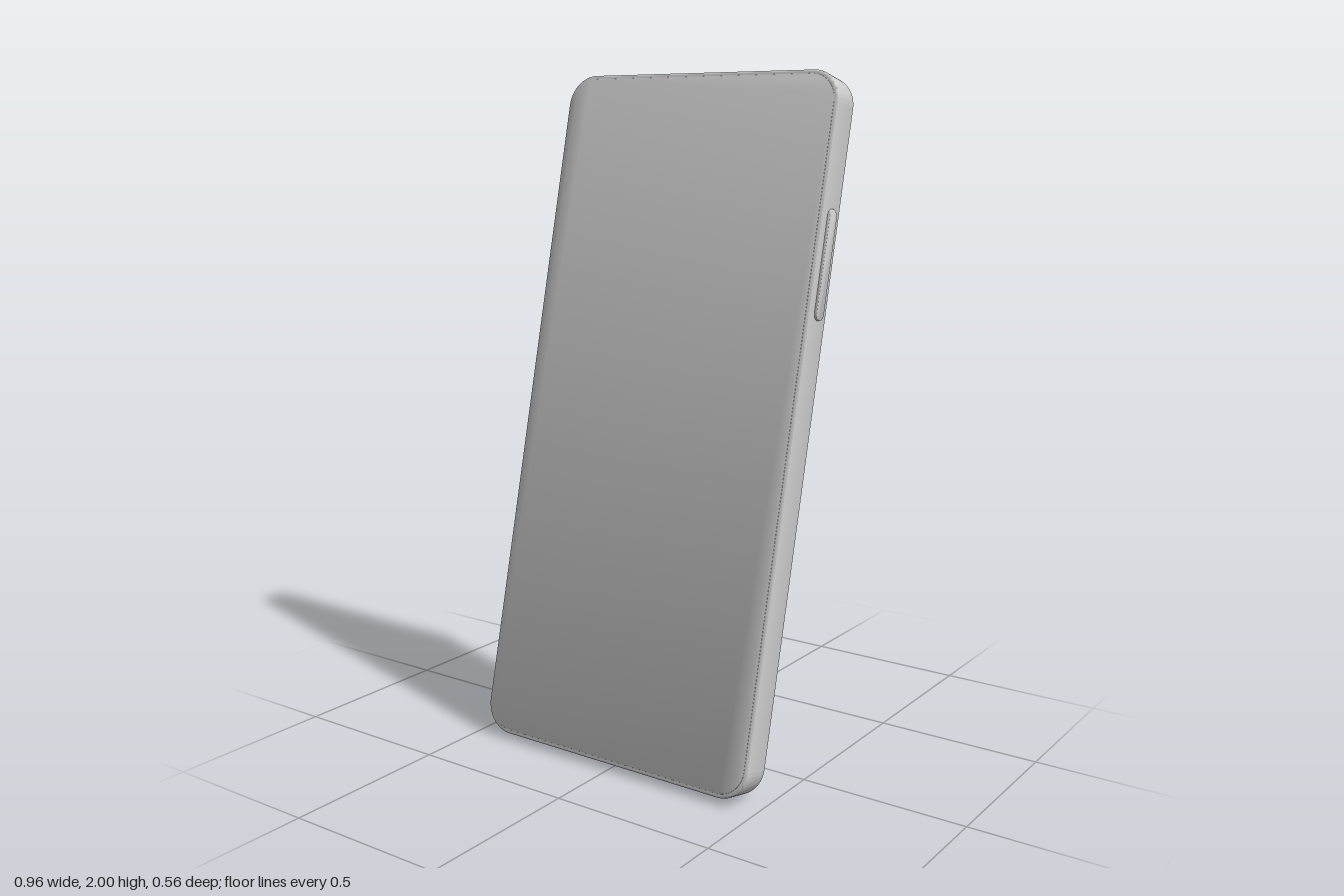
import * as THREE from 'three';
import { toCreasedNormals } from 'three/addons/utils/BufferGeometryUtils.js';

const W = 0.94, L = 2.032, T = 0.096, TILT = -0.2313;
const grey = new THREE.MeshStandardMaterial({ color: 0xcccccc });

// Rounded rectangle slab centred on the origin, thickness along z
function slab(w, h, r, depth, bevel) {
  const x = w / 2 - bevel, y = h / 2 - bevel, q = Math.max(r - bevel, 0.001);
  const s = new THREE.Shape();
  s.moveTo(x, -y + q);
  s.absarc(x - q, y - q, q, 0, Math.PI / 2);
  s.absarc(-x + q, y - q, q, Math.PI / 2, Math.PI);
  s.absarc(-x + q, -y + q, q, Math.PI, Math.PI * 1.5);
  s.absarc(x - q, -y + q, q, Math.PI * 1.5, Math.PI * 2);
  const g = new THREE.ExtrudeGeometry(s, {
    depth: depth - 2 * bevel, bevelEnabled: bevel > 0, bevelThickness: bevel,
    bevelSize: bevel, bevelSegments: 4, curveSegments: 16,
  });
  g.translate(0, 0, -depth / 2 + bevel);
  return toCreasedNormals(g, 0.6);
}

export function createModel() {
  const phone = new THREE.Group();
  phone.name = 'phone';

  const add = (name, geometry, x = 0, y = 0, z = 0) => {
    const m = new THREE.Mesh(geometry, grey);
    m.name = name;
    m.position.set(x, y, z);
    phone.add(m);
    return m;
  };

  // Body and the glass panel set just proud of its front
  add('body', slab(W, L, 0.09, T, 0.007));
  add('screen', slab(W - 0.024, L - 0.024, 0.08, 0.004, 0.001), 0, 0, T / 2 - 0.001);

  // Pill-shaped side buttons
  const button = (name, side, y, length) => {
    const b = add(name, slab(0.042, length, 0.021, 0.024, 0.003), side * (W / 2 - 0.004), y, 0);
    b.rotation.y = side * Math.PI / 2;
  };
  button('powerButton', 1, 0.482, 0.31);
  button('volumeUpButton', -1, 0.647, 0.18);
  button('volumeDownButton', -1, 0.413, 0.18);

  // Rear camera discs: rim, and a shallow dished glass inside it
  const lens = (name, x, down, r, rise) => {
    const edge = r * 0.05;
    const profile = [
      [0, rise - edge * 0.3], [r - edge * 2, rise - edge * 0.3], [r - edge * 1.6, rise],
      [r - edge * 0.4, rise], [r, rise - edge * 0.6], [r, -0.01],
    ].map(([a, b]) => new THREE.Vector2(a, b)).reverse();
    const g = toCreasedNormals(new THREE.LatheGeometry(profile, 48), 0.5);
    add(name, g, x, L / 2 - down, -T / 2).rotation.x = -Math.PI / 2;
  };
  lens('upperLens', 0.365, 0.105, 0.077, 0.01);
  lens('middleLens', 0.365, 0.28, 0.077, 0.01);
  lens('lowerLens', 0.365, 0.42, 0.034, 0.007);

  // Cluster of tiny sensor dots below the lenses
  [[0.376, 0.502], [0.354, 0.508], [0.365, 0.528]].forEach(([x, d], i) =>
    lens('sensorDot' + (i + 1), x, d, 0.007, 0.003));

  // Charging port on the bottom edge
  add('chargingPort', slab(0.11, 0.034, 0.017, 0.004, 0.0005), 0, -L / 2 + 0.001, 0)
    .rotation.x = Math.PI / 2;

  // Lean the phone back and stand it on the ground
  phone.rotation.x = TILT;
  phone.position.y = 1;
  const model = new THREE.Group();
  model.add(phone);
  return model;
}
